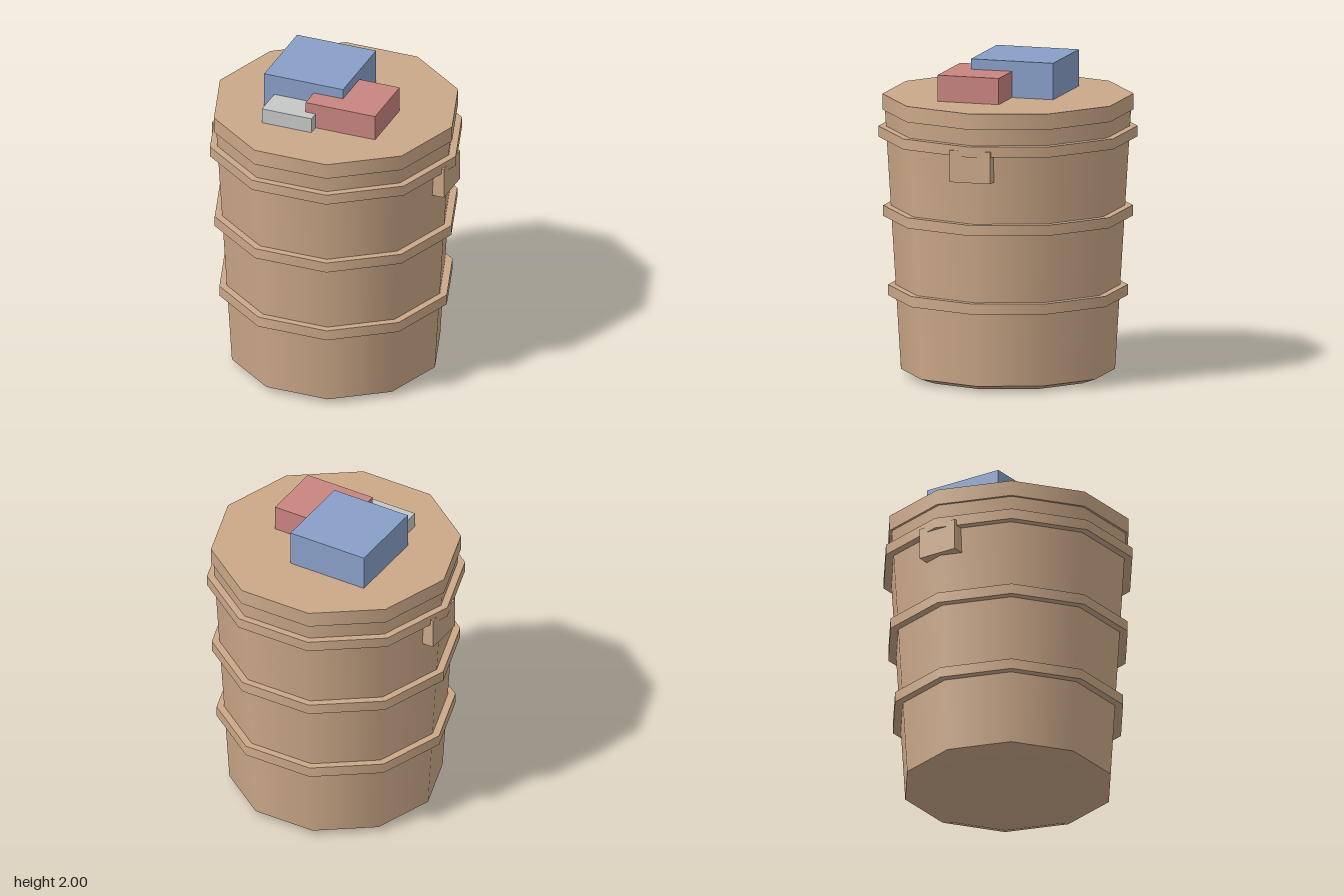
import * as THREE from 'three';

const SIDES = 10;

export function createModel() {
  const model = new THREE.Group();
  const paint = (name, color) => {
    const m = new THREE.MeshStandardMaterial({ color });
    m.name = name;
    return m;
  };
  const tan = paint('tan', 0xcba888);
  const blue = paint('blue', 0x889fc8);
  const red = paint('red', 0xc88480);
  const grey = paint('grey', 0xc4c7c6);

  // Ten-sided tapered section with a corner on the x axis
  const section = (name, y0, y1, r0, r1) => {
    const geo = new THREE.CylinderGeometry(r1, r0, y1 - y0, SIDES, 1, false, Math.PI / 2);
    const mesh = new THREE.Mesh(geo, tan);
    mesh.name = name;
    mesh.position.y = (y0 + y1) / 2;
    model.add(mesh);
  };

  // Box given by its limits
  const block = (name, mat, [x0, x1], [y0, y1], [z0, z1]) => {
    const mesh = new THREE.Mesh(new THREE.BoxGeometry(x1 - x0, y1 - y0, z1 - z0), mat);
    mesh.name = name;
    mesh.position.set((x0 + x1) / 2, (y0 + y1) / 2, (z0 + z1) / 2);
    model.add(mesh);
  };

  // Barrel: bevelled foot, tapered wall and lid
  section('foot', 0, 0.035, 0.565, 0.665);
  section('wall', 0.035, 1.68, 0.665, 0.765);
  section('lid', 1.67, 1.77, 0.78, 0.78);

  // Hoops
  [[0.5, 0.745], [1.0, 0.775], [1.5, 0.805]].forEach(([y, r], i) =>
    section('hoop' + (i + 1), y, y + 0.067, r, r));

  // Grips, one on each side
  block('leftGrip', tan, [0.65, 0.78], [1.335, 1.535], [-0.132, 0.132]);
  block('rightGrip', tan, [-0.78, -0.65], [1.335, 1.535], [-0.132, 0.132]);

  // Parcels on the lid
  block('largeParcel', blue, [-0.4, 0.13], [1.765, 2.0], [-0.335, 0.2]);
  block('mediumParcel', red, [-0.067, 0.4], [1.765, 1.935], [-0.067, 0.333]);
  block('smallParcel', grey, [-0.333, 0], [1.765, 1.868], [0.133, 0.4]);

  return model;
}
